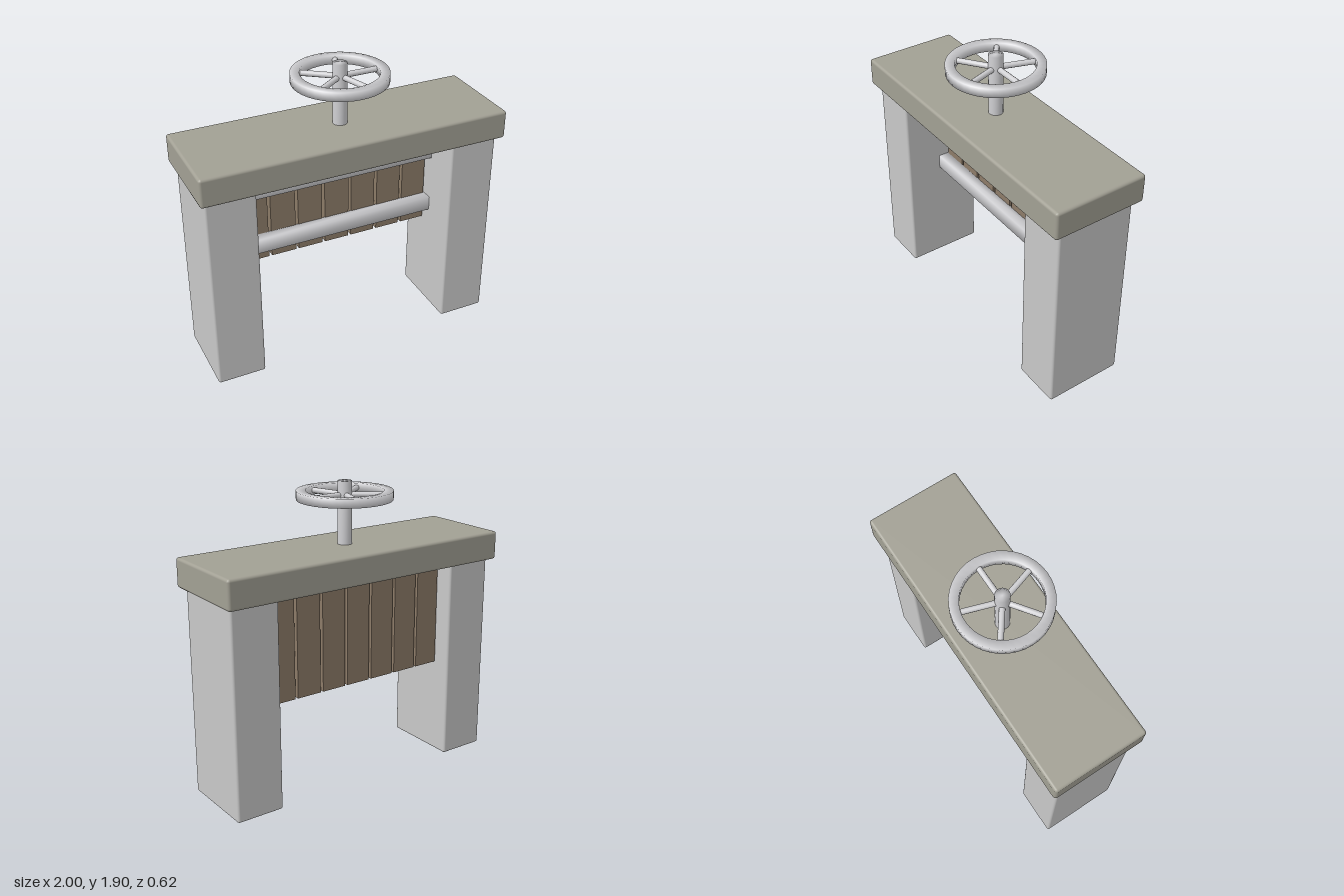
import * as THREE from 'three';
import { mergeVertices } from 'three/addons/utils/BufferGeometryUtils.js';
import { RoundedBoxGeometry } from 'three/addons/geometries/RoundedBoxGeometry.js';

const material = (name, color) => {
  const m = new THREE.MeshStandardMaterial({ color });
  m.name = name;
  return m;
};

// Weld shared corners so the shading runs smoothly over the edges
function soften(geometry) {
  geometry.deleteAttribute('normal');
  geometry.deleteAttribute('uv');
  const welded = mergeVertices(geometry, 1e-4);
  welded.computeVertexNormals();
  return welded;
}

export function createModel() {
  const stone = material('pale stone', 0xc8c8c8);
  const capStone = material('cap stone', 0xa2a094);
  const wood = material('wood', 0x8c7b68);
  const metal = material('metal', 0xd0d0d3);
  const model = new THREE.Group();
  model.name = 'sluiceGate';

  const add = (name, geometry, mat, x, y, z, parent = model) => {
    const mesh = new THREE.Mesh(geometry, mat);
    mesh.name = name;
    mesh.position.set(x, y, z);
    parent.add(mesh);
    return mesh;
  };

  // Stone posts and lintel
  for (const side of [-1, 1]) {
    add(side > 0 ? 'leftPost' : 'rightPost',
      new RoundedBoxGeometry(0.315, 1.335, 0.52, 2, 0.015), stone, side * 0.8075, 0.6675, 0);
  }
  add('lintel', new RoundedBoxGeometry(2, 0.185, 0.62, 2, 0.018), capStone, 0, 1.4225, 0);

  // Plank gate
  for (let i = 0; i < 7; i++) {
    add('plank' + (i + 1), new THREE.BoxGeometry(0.167, 0.71, 0.095), wood, (i - 3) * 0.186, 0.995, -0.0975);
  }

  // Metal straps across the planks
  for (const [name, y] of [['upperStrap', 1.172], ['lowerStrap', 0.778]]) {
    add(name, soften(new THREE.BoxGeometry(1.31, 0.095, 0.075)), metal, 0, y, -0.017);
  }

  // Lifting stem
  add('stem', soften(new THREE.CylinderGeometry(0.045, 0.045, 0.685, 20)), metal, 0, 1.5625, 0);

  // Handwheel
  const wheel = new THREE.Group();
  wheel.name = 'handwheel';
  wheel.position.y = 1.82;
  model.add(wheel);
  const section = [[0.24, -0.028], [0.298, -0.028], [0.298, 0.028], [0.24, 0.028], [0.24, -0.028]]
    .map(([r, y]) => new THREE.Vector2(r, y));
  add('rim', soften(new THREE.LatheGeometry(section, 40)), metal, 0, 0, 0, wheel);
  for (let i = 0; i < 5; i++) {
    const angle = i * Math.PI * 2 / 5;
    const geometry = new THREE.CylinderGeometry(0.018, 0.018, 0.25, 10);
    geometry.rotateZ(-Math.PI / 2).translate(0.125, 0, 0).rotateY(angle);
    add('spoke' + (i + 1), soften(geometry), metal, 0, 0, 0, wheel);
  }
  return model;
}
